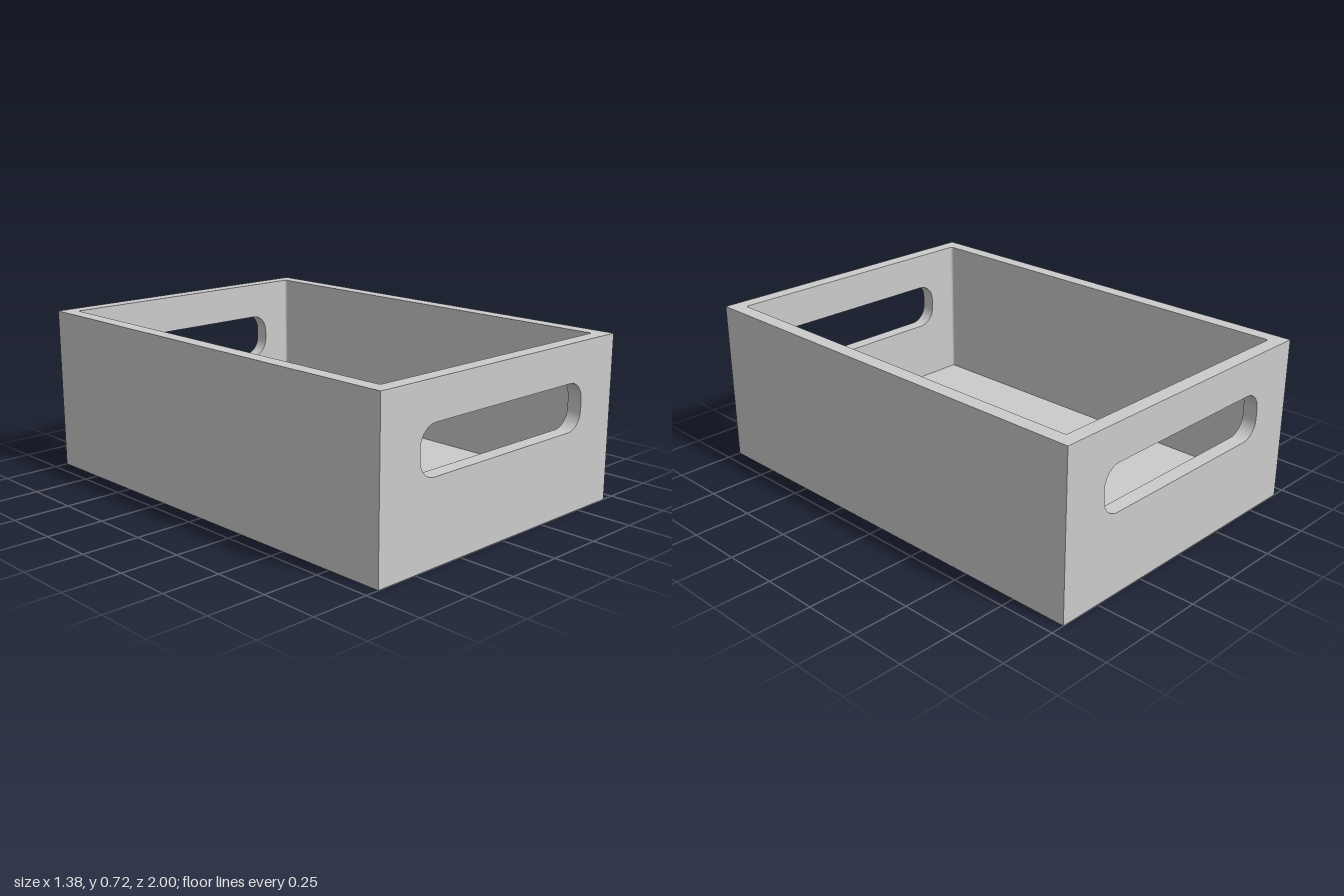
import * as THREE from 'three';
import { toCreasedNormals } from 'three/addons/utils/BufferGeometryUtils.js';

const W = 0.69, D = 1, H = 0.72;      // outer half width, half depth, height
const T = 0.064, FLOOR = 0.075;       // wall thickness, floor level
const IW = W - T, ID = D - T, R = 0.01; // inner half sizes, inner corner radius
const SEG = 8;

// Counter-clockwise rounded rectangle: four arcs of SEG + 1 points
function outline(hw, hh, r, cy = 0) {
  const pts = [];
  [[1, 1], [-1, 1], [-1, -1], [1, -1]].forEach(([sx, sy], k) => {
    for (let i = 0; i <= SEG; i++) {
      const a = (k + i / SEG) * Math.PI / 2;
      pts.push(new THREE.Vector2(
        sx * (hw - r) + r * Math.cos(a),
        cy + sy * (hh - r) + r * Math.sin(a)));
    }
  });
  return pts;
}

// Flat rectangle in the xy plane, optionally pierced by an outline
function panel(hw, y0, y1, hole) {
  const s = new THREE.Shape([[-hw, y0], [hw, y0], [hw, y1], [-hw, y1]]
    .map(p => new THREE.Vector2(...p)));
  if (hole) s.holes.push(new THREE.Path(hole));
  return new THREE.ShapeGeometry(s);
}

// Strip that follows 2D points between two z levels, facing the inside of the outline
function ribbon(pts, zA, zB) {
  const pos = [], idx = [];
  pts.forEach((p, i) => {
    pos.push(p.x, p.y, zA, p.x, p.y, zB);
    if (i) {
      const a = 2 * i - 2;
      idx.push(a, a + 2, a + 3, a, a + 3, a + 1);
    }
  });
  const g = new THREE.BufferGeometry();
  g.setAttribute('position', new THREE.Float32BufferAttribute(pos, 3));
  g.setIndex(idx);
  return toCreasedNormals(g, 0.6);
}

export function createModel() {
  const model = new THREE.Group();
  const material = new THREE.MeshStandardMaterial({ color: 0xcccccc, side: THREE.DoubleSide });
  const add = (name, geometry, parent = model) => {
    const mesh = new THREE.Mesh(geometry, material);
    mesh.name = name;
    parent.add(mesh);
    return mesh;
  };

  const handle = outline(0.484, 0.102, 0.08, 0.454);
  const inner = outline(IW, ID, R);

  // End walls with handle slots, front and back
  for (const [name, turn] of [['frontWall', 0], ['backWall', Math.PI]]) {
    const wall = new THREE.Group();
    wall.name = name;
    wall.rotation.y = turn;
    model.add(wall);
    add('outerFace', panel(W, 0, H, handle).translate(0, 0, D), wall);
    add('innerFace', panel(IW - R, FLOOR, H, handle).rotateY(Math.PI).translate(0, 0, ID), wall);
    add('handleSlot', ribbon([...handle, handle[0]], D, ID), wall);
  }

  // Plain side walls, left and right
  for (const [name, turn] of [['leftWall', Math.PI / 2], ['rightWall', -Math.PI / 2]]) {
    const wall = new THREE.Group();
    wall.name = name;
    wall.rotation.y = turn;
    model.add(wall);
    add('outerFace', panel(D, 0, H).translate(0, 0, W), wall);
    add('innerFace', panel(ID - R, FLOOR, H).rotateY(Math.PI).translate(0, 0, IW), wall);
  }

  // Small fillets in the inner corners
  for (let k = 0; k < 4; k++) {
    const arc = inner.slice(k * (SEG + 1), (k + 1) * (SEG + 1));
    add('innerCorner', ribbon(arc, H, FLOOR).rotateX(-Math.PI / 2));
  }

  // Top rim and floor; the underside is open below the floor
  add('topRim', panel(W, -D, D, inner).rotateX(-Math.PI / 2).translate(0, H, 0));
  add('floor', new THREE.ShapeGeometry(new THREE.Shape(inner))
    .rotateX(-Math.PI / 2).translate(0, FLOOR, 0));

  return model;
}
